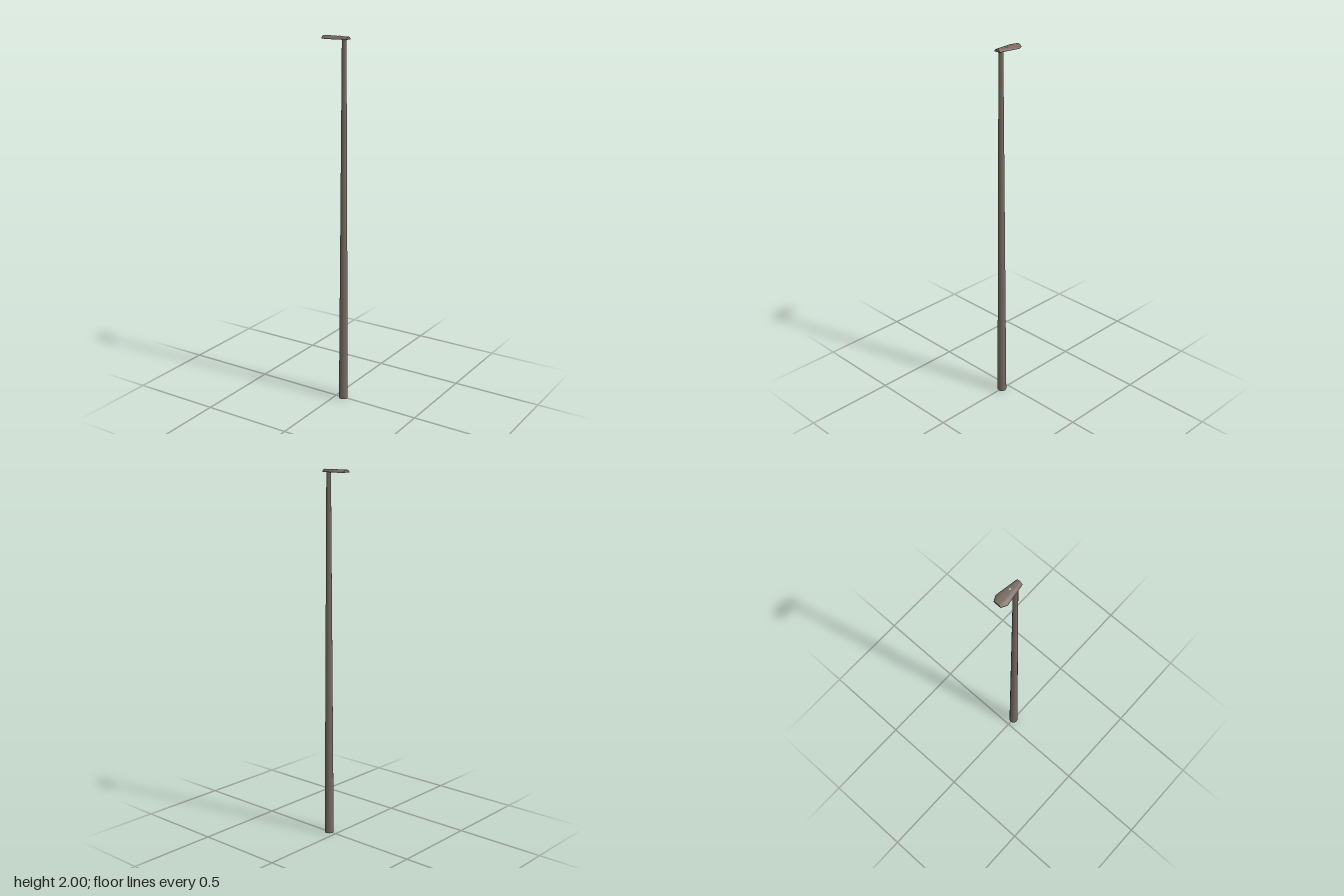
import * as THREE from 'three';
import { ConvexGeometry } from 'three/addons/geometries/ConvexGeometry.js';
import { toCreasedNormals } from 'three/addons/utils/BufferGeometryUtils.js';

const POLE_X = 0.047;
const HEAD_BASE = 1.984;
const HEAD_HEIGHT = 0.015;

// Lamp head: domed cross-sections of equal height, widest near the outer end
function headGeometry() {
  const stations = [[-0.075, 0.022], [-0.045, 0.037], [0.073, 0.018]]; // x, half width
  const points = [];
  const steps = 14;
  for (const [x, half] of stations) {
    for (let i = 0; i <= steps; i++) {
      const a = (i / steps) * Math.PI;
      points.push(new THREE.Vector3(x, HEAD_BASE + HEAD_HEIGHT * Math.sin(a), half * Math.cos(a)));
    }
  }
  return toCreasedNormals(new ConvexGeometry(points), 0.5);
}

export function createModel() {
  const model = new THREE.Group();
  model.name = 'streetLight';
  const metal = new THREE.MeshStandardMaterial({ color: 0x776a62 });
  const grey = new THREE.MeshStandardMaterial({ color: 0xcccccc });

  const add = (name, geometry, material, x = 0, y = 0, z = 0) => {
    const mesh = new THREE.Mesh(geometry, material);
    mesh.name = name;
    mesh.position.set(x, y, z);
    model.add(mesh);
  };

  // Tapered pole reaching just inside the head
  const poleHeight = HEAD_BASE + 0.004;
  add('pole', new THREE.CylinderGeometry(0.012, 0.025, poleHeight, 16), metal, POLE_X, poleHeight / 2, 0);

  add('lampHead', headGeometry(), metal);

  // Small light sensor set into the top of the head
  add('lightSensor', new THREE.BoxGeometry(0.008, 0.004, 0.008), grey, 0.015, 1.998, -0.005);

  return model;
}
